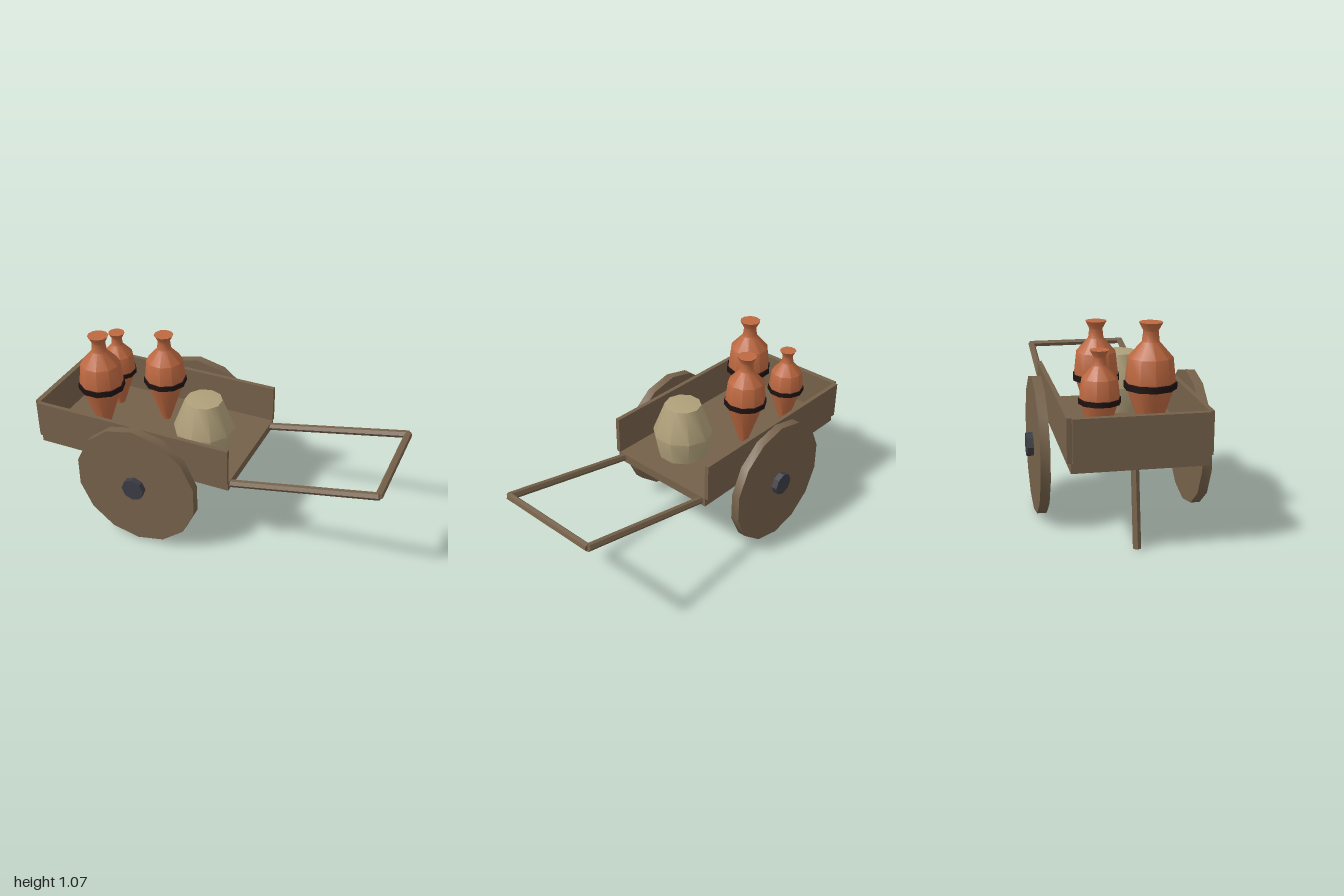
import * as THREE from 'three';
import { toCreasedNormals } from 'three/addons/utils/BufferGeometryUtils.js';

const paint = (name, color) => {
  const m = new THREE.MeshStandardMaterial({ color });
  m.name = name;
  return m;
};

export function createModel() {
  const wood = paint('wood', 0x75614a);
  const clay = paint('terracotta', 0xbd6840);
  const burlap = paint('burlap', 0xb0a07a);
  const iron = paint('iron', 0x3c3d45);
  const dark = paint('darkBand', 0x1e1212);

  const cart = new THREE.Group();
  cart.name = 'handCart';

  const add = (name, geometry, material, x = 0, y = 0, z = 0, parent = cart) => {
    const mesh = new THREE.Mesh(toCreasedNormals(geometry, 0.7), material);
    mesh.name = name;
    mesh.position.set(x, y, z);
    parent.add(mesh);
    return mesh;
  };

  // Box given by its limits on each axis
  const box = (name, x0, x1, y0, y1, z0, z1) =>
    add(name, new THREE.BoxGeometry(x1 - x0, y1 - y0, z1 - z0), wood,
      (x0 + x1) / 2, (y0 + y1) / 2, (z0 + z1) / 2);

  // Six-sided pole between two points
  const pole = (name, from, to, spin) => {
    const a = new THREE.Vector3(...from), b = new THREE.Vector3(...to);
    const dir = b.clone().sub(a);
    const geometry = new THREE.CylinderGeometry(0.021, 0.021, dir.length(), 6).rotateY(spin);
    const mesh = add(name, geometry, wood);
    mesh.position.copy(a).lerp(b, 0.5);
    mesh.quaternion.setFromUnitVectors(new THREE.Vector3(0, 1, 0), dir.normalize());
  };

  const lathe = (points, sides) =>
    new THREE.LatheGeometry(points.map(p => new THREE.Vector2(...p)), sides);

  // Bed, open at the handle end
  box('bedFloor', -0.98, 0.18, 0.43, 0.48, -0.328, 0.328);
  box('endWall', -1, -0.97, 0.48, 0.695, -0.322, 0.322);

  // Side walls, wheels, hubs and handle rails on both sides
  for (const [side, s] of [['left', 1], ['right', -1]].map(([n, v]) => [n === 'left' ? 'front' : 'back', v])) {
    box(side + 'Wall', -0.98, 0.18, 0.48, 0.695, s * 0.334 - 0.012, s * 0.334 + 0.012);
    add(side + 'Wheel', new THREE.CylinderGeometry(0.362, 0.362, 0.05, 14).rotateX(Math.PI / 2),
      wood, -0.33, 0.37, s * 0.409);
    add(side + 'Hub', new THREE.CylinderGeometry(0.065, 0.065, 0.088, 8).rotateX(Math.PI / 2),
      iron, -0.33, 0.37, s * 0.424);
    pole(side + 'HandleRail', [0.16, 0.453, s * 0.294], [0.982, 0.627, s * 0.294], 0);
  }
  pole('handleCrossbar', [0.979, 0.626, -0.294], [0.979, 0.626, 0.294], Math.PI / 6 - 0.22);
  pole('propLeg', [-0.91, 0.004, 0], [-0.838, 0.45, 0], Math.PI / 6);

  // Banded jars: one shape at three sizes
  const jarProfile = [[0, 0], [0.028, 0], [0.113, 0.255], [0.124, 0.3], [0.111, 0.417],
    [0.043, 0.493], [0.037, 0.545], [0.059, 0.586], [0, 0.586]];
  const bandProfile = [[0.1, 0.263], [0.131, 0.263], [0.131, 0.295], [0.1, 0.295], [0.1, 0.263]];
  const jars = [[-0.693, 0.106, 1, Math.PI / 2], [-0.403, -0.11, 0.933, 0.2], [-0.73, -0.15, 0.8, 0]];
  jars.forEach(([x, z, scale, turn], i) => {
    const jar = new THREE.Group();
    jar.name = 'jar' + (i + 1);
    add('jarBody', lathe(jarProfile, 10), clay, 0, 0, 0, jar);
    add('jarBand', lathe(bandProfile, 10), dark, 0, 0, 0, jar);
    jar.position.set(x, 0.48, z);
    jar.rotation.y = turn;
    jar.scale.setScalar(scale);
    cart.add(jar);
  });

  // Sack with a slightly domed top
  add('sack', lathe([[0, 0], [0.143, 0], [0.17, 0.14], [0.103, 0.312], [0, 0.324]], 10),
    burlap, -0.077, 0.48, 0.07);

  return cart;
}
